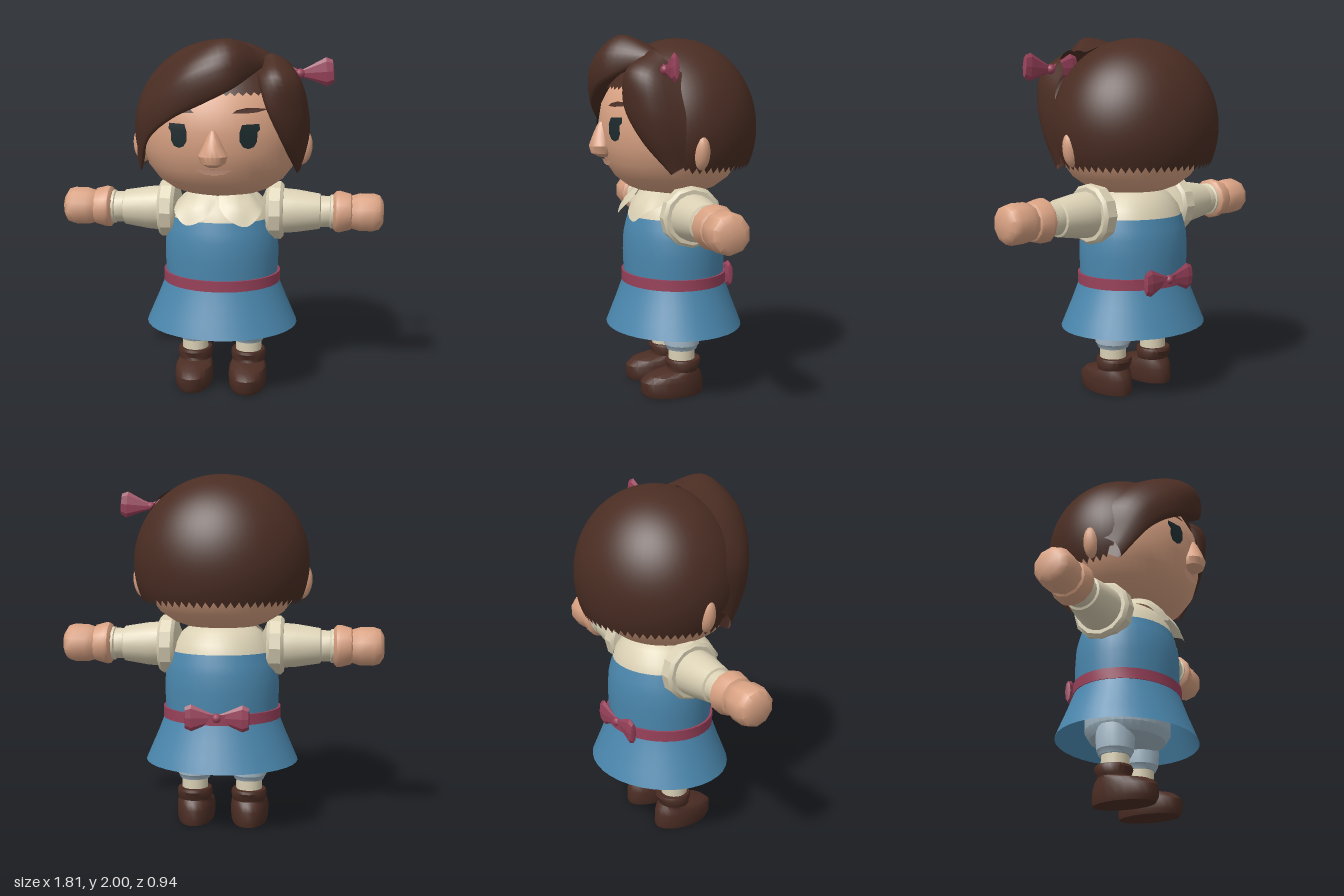
import * as THREE from 'three';
import { toCreasedNormals } from 'three/addons/utils/BufferGeometryUtils.js';

const mat = (name, color, side = THREE.FrontSide) => {
  const m = new THREE.MeshStandardMaterial({ color, side });
  m.name = name;
  return m;
};
const V = (p) => new THREE.Vector3(...p);

// Head radius profile: [radius, height]
const HEAD = [[0, 1.15], [0.2, 1.15], [0.27, 1.175], [0.35, 1.23], [0.41, 1.31], [0.44, 1.41],
  [0.45, 1.52], [0.43, 1.63], [0.38, 1.72], [0.23, 1.85], [0, 1.92]];
const HEAD_Z = 0.9;

function faceZ(x, y) {
  let i = 1;
  while (i < HEAD.length - 2 && HEAD[i + 1][1] < y) i++;
  const [r0, y0] = HEAD[i], [r1, y1] = HEAD[i + 1];
  const r = r0 + (r1 - r0) * (y - y0) / (y1 - y0);
  return HEAD_Z * Math.sqrt(Math.max(0, r * r - x * x));
}

const lathe = (pts, seg = 32, crease = 0.6) =>
  toCreasedNormals(new THREE.LatheGeometry(pts.map(([r, y]) => new THREE.Vector2(r, y)), seg), crease);

// Closed loft of elliptical rings [y, zBack, zFront, halfWidth]
function loft(rings, seg = 20, crease = 0.7) {
  const f = rings[0], l = rings[rings.length - 1];
  const mid = (r) => [r[0], (r[1] + r[2]) / 2, (r[1] + r[2]) / 2, 0];
  const all = [mid(f), ...rings, mid(l)], pos = [], idx = [];
  all.forEach(([y, z0, z1, w], i) => {
    for (let j = 0; j < seg; j++) {
      const a = j / seg * Math.PI * 2;
      pos.push(w * Math.sin(a), y, (z0 + z1) / 2 + (z1 - z0) / 2 * Math.cos(a));
      if (i === all.length - 1) continue;
      const p = i * seg + j, q = i * seg + (j + 1) % seg;
      idx.push(p, q, p + seg, q, q + seg, p + seg);
    }
  });
  const g = new THREE.BufferGeometry();
  g.setAttribute('position', new THREE.Float32BufferAttribute(pos, 3));
  g.setIndex(idx);
  return toCreasedNormals(g, crease);
}

// Smooth sheet through rows of control points
function sheet(rows, nu = 24, nv = 12) {
  const across = rows.map((r) => new THREE.CatmullRomCurve3(r.map(V)).getPoints(nv));
  const pos = [], idx = [];
  for (let j = 0; j <= nv; j++) {
    new THREE.CatmullRomCurve3(across.map((r) => r[j])).getPoints(nu).forEach((p, i) => {
      pos.push(p.x, p.y, p.z);
      if (i === nu || j === nv) return;
      const a = j * (nu + 1) + i, b = a + nu + 1;
      idx.push(a, b, a + 1, b, b + 1, a + 1);
    });
  }
  const g = new THREE.BufferGeometry();
  g.setAttribute('position', new THREE.Float32BufferAttribute(pos, 3));
  g.setIndex(idx);
  g.computeVertexNormals();
  return g;
}

// Thin painted shape following the face
function decal(pts, offset) {
  const g = new THREE.ShapeGeometry(new THREE.Shape(pts.map(([x, y]) => new THREE.Vector2(x, y))));
  const p = g.attributes.position;
  for (let i = 0; i < p.count; i++) p.setZ(i, faceZ(p.getX(i), p.getY(i)) + offset);
  g.computeVertexNormals();
  return g;
}

// Hair cap: ellipsoid whose lower edge rises above the forehead
function hairCap() {
  const g = new THREE.SphereGeometry(1, 64, 28), p = g.attributes.position, uv = g.attributes.uv;
  for (let i = 0; i < p.count; i++) {
    const az = uv.getX(i) * Math.PI * 2 - Math.PI / 2;
    const fromFront = Math.abs(Math.atan2(Math.sin(az), Math.cos(az)));
    const edge = 1.71 - 0.43 * THREE.MathUtils.smoothstep(fromFront, 0.75, 1.4);
    const t = (1 - uv.getY(i)) * Math.acos((edge - 1.5) / 0.487);
    p.setXYZ(i, 0.49 * Math.sin(t) * Math.sin(az), 1.5 + 0.487 * Math.cos(t), -0.03 + 0.44 * Math.sin(t) * Math.cos(az));
  }
  return toCreasedNormals(g, 0.8);
}

export function createModel() {
  const D = THREE.DoubleSide;
  const hair = mat('hairBrown', 0x4a2d23, D), skin = mat('skin', 0xd9a283), cream = mat('cream', 0xdad0b4, D);
  const blue = mat('dressBlue', 0x4a86ac, D), red = mat('ribbonRed', 0x98415a, D), pale = mat('paleBlue', 0xa5bac8);
  const dark = mat('eyeDark', 0x1c2a2d, D), lip = mat('lip', 0xe0a98e, D), boot = mat('bootBrown', 0x4b2d24);
  const model = new THREE.Group();
  const add = (name, geo, material, parent = model) => {
    const m = new THREE.Mesh(geo, material);
    m.name = name;
    parent.add(m);
    return m;
  };

  // Head and face
  add('head', lathe(HEAD, 48, 0.8), skin).scale.z = HEAD_Z;
  add('nose', loft([[1.345, 0.34, 0.42, 0.03], [1.365, 0.34, 0.46, 0.065], [1.405, 0.34, 0.472, 0.077],
    [1.46, 0.34, 0.452, 0.05], [1.51, 0.34, 0.43, 0.03], [1.535, 0.34, 0.415, 0.015]]), skin);
  add('mouth', decal([[-0.105, 1.33], [-0.05, 1.302], [0, 1.298], [0.05, 1.302], [0.105, 1.33],
    [0.05, 1.327], [0, 1.332], [-0.05, 1.327]], 0.014), lip);
  for (const s of [1, -1]) {
    const outline = [[0.235, 1.568], [0.15, 1.566], [0.138, 1.53], [0.138, 1.48], [0.155, 1.45], [0.182, 1.44],
      [0.21, 1.45], [0.226, 1.48], [0.226, 1.525], [0.24, 1.54]];
    add('eye', decal(outline.map(([x, y]) => [x * s, y]), 0.012), dark);
    add('eyebrow', decal([[0.1, 1.625], [0.16, 1.622], [0.22, 1.626], [0.28, 1.64], [0.22, 1.648],
      [0.17, 1.65], [0.12, 1.64]].map(([x, y]) => [x * s, y]), 0.01), hair);
    const ear = add('ear', new THREE.SphereGeometry(1, 16, 12), skin);
    ear.scale.set(0.05, 0.095, 0.045);
    ear.position.set(s * 0.455, 1.395, -0.015);
    ear.rotation.z = -s * 0.12;
  }

  // Hair: cap, swept fringe and side lock, each with an edge tucked inward
  add('hairCap', hairCap(), hair);
  const tuck = (r) => [...r, [r[r.length - 1][0], r[r.length - 1][1] + 0.05, r[r.length - 1][2] - 0.1]];
  add('fringe', sheet([
    [[0.22, 1.91, 0.14], [0.24, 1.92, 0.19], [0.25, 1.89, 0.23], [0.24, 1.85, 0.25]],
    [[0.07, 1.95, 0.15], [0.07, 2.0, 0.31], [0.1, 1.9, 0.41], [0.1, 1.75, 0.41]],
    [[-0.12, 1.93, 0.1], [-0.1, 1.945, 0.31], [-0.1, 1.83, 0.44], [-0.05, 1.675, 0.43]],
    [[-0.3, 1.83, 0.06], [-0.27, 1.83, 0.27], [-0.26, 1.72, 0.385], [-0.22, 1.59, 0.395]],
    [[-0.455, 1.64, 0.02], [-0.43, 1.62, 0.2], [-0.4, 1.56, 0.28], [-0.36, 1.47, 0.3]],
    [[-0.475, 1.42, 0.02], [-0.46, 1.38, 0.1], [-0.45, 1.34, 0.14], [-0.43, 1.28, 0.15]],
  ].map(tuck), 30, 16), hair);
  add('sideLock', sheet([
    [[0.42, 1.8, 0.08], [0.37, 1.88, 0.17], [0.28, 1.92, 0.19], [0.22, 1.88, 0.16]],
    [[0.46, 1.72, 0.1], [0.43, 1.79, 0.27], [0.32, 1.81, 0.35], [0.23, 1.79, 0.31]],
    [[0.485, 1.58, 0.08], [0.46, 1.62, 0.26], [0.36, 1.64, 0.345], [0.27, 1.65, 0.35]],
    [[0.48, 1.46, 0.08], [0.46, 1.46, 0.21], [0.41, 1.46, 0.265], [0.345, 1.47, 0.285]],
    [[0.45, 1.32, 0.08], [0.445, 1.3, 0.12], [0.435, 1.285, 0.14], [0.425, 1.28, 0.14]],
  ].map(tuck), 24, 16), hair);

  // Ribbon bows
  const bow = (name, x, y, z, tilt) => {
    const g = new THREE.Group();
    g.name = name;
    for (const s of [1, -1]) {
      const loop = add('bowLoop', lathe([[0, 0], [0.02, 0.01], [0.035, 0.05], [0.075, 0.14], [0.06, 0.175], [0, 0.18]], 8, 0.4)
        .rotateZ(-s * Math.PI / 2), red, g);
      loop.scale.z = 0.28;
      loop.rotation.z = s * tilt;
    }
    add('bowKnot', new THREE.SphereGeometry(0.027, 10, 8), red, g);
    g.position.set(x, y, z);
    model.add(g);
  };
  bow('hairBow', 0.435, 1.815, 0.175, 0.08);
  bow('beltBow', 0, 0.67, -0.295, 0);

  // Dress, blouse and belt
  const body = new THREE.Group();
  body.name = 'body';
  body.scale.z = 0.88;
  body.position.z = -0.012;
  model.add(body);
  add('blouse', lathe([[0.29, 1.0], [0.27, 1.06], [0.22, 1.12], [0.16, 1.16], [0, 1.17]], 36), cream, body);
  add('bodice', lathe([[0.32, 0.64], [0.322, 0.72], [0.325, 0.8], [0.32, 0.9], [0.308, 0.95], [0.29, 1.01]], 36), blue, body);
  add('skirt', lathe([[0.435, 0.38], [0.405, 0.45], [0.37, 0.53], [0.33, 0.63], [0.32, 0.66]], 36), blue, body);
  add('belt', lathe([[0.315, 0.63], [0.335, 0.63], [0.335, 0.69], [0.315, 0.69]], 36), red, body);
  add('bloomers', lathe([[0, 0.36], [0.17, 0.362], [0.23, 0.385], [0.26, 0.43], [0.26, 0.5], [0, 0.55]], 32), pale, body);
  add('neck', new THREE.CylinderGeometry(0.14, 0.17, 0.12, 24).translate(0, 1.13, 0), skin, body);

  for (const s of [1, -1]) {
    // Collar flap
    const flap = add('collarFlap', sheet([
      [[0.008, 1.155, 0.19], [0.01, 1.12, 0.215], [0.012, 1.095, 0.235]],
      [[0.06, 1.16, 0.185], [0.07, 1.1, 0.24], [0.07, 1.035, 0.275]],
      [[0.11, 1.165, 0.17], [0.13, 1.09, 0.24], [0.165, 1.0, 0.27]],
      [[0.16, 1.165, 0.12], [0.19, 1.12, 0.18], [0.235, 1.06, 0.22]],
      [[0.17, 1.165, 0.05], [0.21, 1.13, 0.08], [0.24, 1.1, 0.1]],
    ], 16, 6), cream);
    flap.scale.x = s;

    // Arm, built along y then turned sideways
    const arm = new THREE.Group();
    arm.name = s > 0 ? 'leftArm' : 'rightArm';
    arm.position.set(0, 1.037, -0.01);
    arm.rotation.z = -s * Math.PI / 2;
    model.add(arm);
    add('shoulderPuff', lathe([[0, 0.2], [0.13, 0.255], [0.15, 0.258], [0.167, 0.275], [0.167, 0.335],
      [0.15, 0.352], [0.12, 0.352]], 12, 0.45), cream, arm);
    add('sleeve', lathe([[0.128, 0.34], [0.122, 0.42], [0.1, 0.555], [0.088, 0.56], [0.088, 0.61],
      [0.096, 0.615], [0.096, 0.64], [0, 0.64]], 20), cream, arm);
    add('wrist', lathe([[0, 0.62], [0.09, 0.622], [0.118, 0.645], [0.12, 0.665], [0.104, 0.725], [0.08, 0.74]], 12, 0.7), skin, arm);
    add('hand', lathe([[0.08, 0.71], [0.096, 0.735], [0.108, 0.775], [0.109, 0.85], [0.098, 0.885],
      [0.065, 0.906], [0, 0.907]], 10, 0.8).rotateY(Math.PI / 10), skin, arm);

    // Leg and boot
    const leg = new THREE.Group();
    leg.name = s > 0 ? 'leftLeg' : 'rightLeg';
    leg.position.x = s * 0.157;
    model.add(leg);
    add('bloomerLeg', lathe([[0, 0.262], [0.085, 0.262], [0.095, 0.285], [0.1, 0.29], [0.105, 0.36], [0.1, 0.42]], 20)
      .translate(0, 0, -0.01), pale, leg);
    add('sock', new THREE.CylinderGeometry(0.075, 0.075, 0.14, 20).translate(0, 0.22, -0.01), cream, leg);
    add('boot', loft([[0, -0.13, 0.215, 0.1], [0.025, -0.135, 0.23, 0.108], [0.085, -0.132, 0.23, 0.11],
      [0.118, -0.12, 0.19, 0.106], [0.14, -0.1, 0.075, 0.092], [0.155, -0.105, 0.07, 0.1],
      [0.19, -0.12, 0.085, 0.102], [0.205, -0.115, 0.08, 0.095]], 24), boot, leg);
  }
  return model;
}
